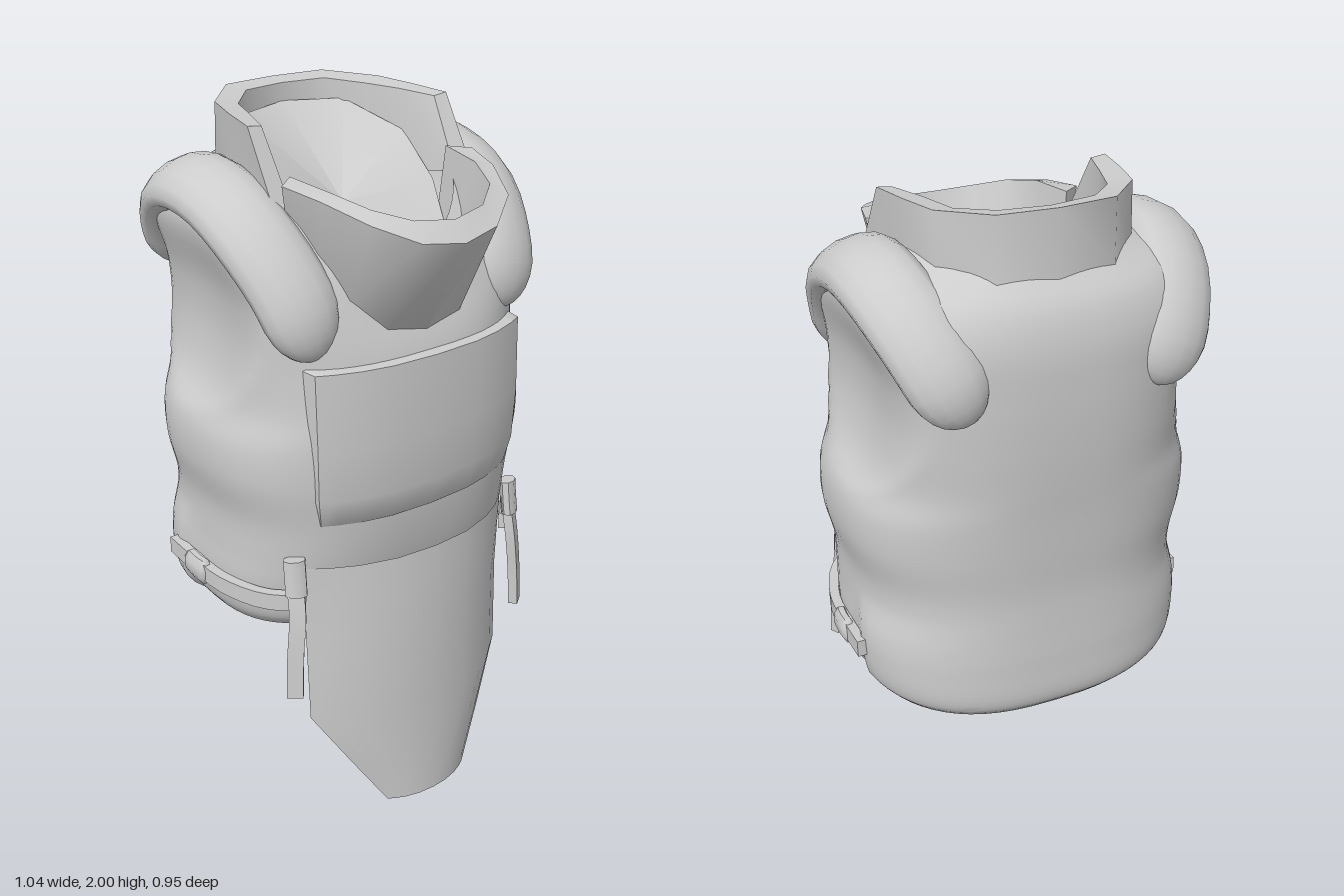
import * as THREE from 'three';
import { toCreasedNormals } from 'three/addons/utils/BufferGeometryUtils.js';

const cloth = new THREE.MeshStandardMaterial({ color: 0xcccccc, side: THREE.DoubleSide });
cloth.name = 'greyCloth';
const V = (x, y, z) => new THREE.Vector3(x, y, z);

// Skin a grid of points; wrap closes every row into a loop, caps closes the ends
function skin(rows, wrap = false, caps = false) {
  const n = rows[0].length, pos = rows.flat().flatMap(p => [p.x, p.y, p.z]), idx = [];
  for (let i = 0; i < rows.length - 1; i++)
    for (let j = 0; j < (wrap ? n : n - 1); j++) {
      const k = (j + 1) % n, a = i * n + j, b = i * n + k, c = b + n, d = a + n;
      idx.push(a, b, c, a, c, d);
    }
  if (caps) for (let j = 1; j < n - 1; j++) {
    const e = (rows.length - 1) * n;
    idx.push(0, j + 1, j, e, e + j, e + j + 1);
  }
  const g = new THREE.BufferGeometry();
  g.setAttribute('position', new THREE.Float32BufferAttribute(pos, 3));
  g.setIndex(idx);
  g.computeVertexNormals();
  return g;
}

function add(group, name, geo, crease) {
  const m = new THREE.Mesh(crease ? toCreasedNormals(geo, crease) : geo, cloth);
  m.name = name;
  group.add(m);
  return m;
}

// Torso profile: front y, side y, back y, half width, front z, back z
const RINGS = [
  [0.62, 0.60, 0.56, 0.44, 0.28, -0.43], [0.66, 0.64, 0.60, 0.465, 0.31, -0.46],
  [0.75, 0.75, 0.72, 0.48, 0.33, -0.462], [0.84, 0.84, 0.84, 0.475, 0.35, -0.455],
  [0.95, 0.95, 0.95, 0.475, 0.365, -0.45], [1.08, 1.08, 1.08, 0.502, 0.37, -0.455],
  [1.20, 1.18, 1.20, 0.50, 0.37, -0.46], [1.28, 1.28, 1.28, 0.47, 0.37, -0.465],
  [1.40, 1.40, 1.40, 0.47, 0.355, -0.47], [1.45, 1.55, 1.55, 0.48, 0.34, -0.47],
  [1.52, 1.72, 1.68, 0.49, 0.31, -0.46], [1.59, 1.80, 1.77, 0.43, 0.28, -0.43],
  [1.65, 1.86, 1.84, 0.29, 0.23, -0.37],
];

function torsoGeometry() {
  const seg = 64, steps = 72, cols = [];
  const pow = v => Math.sign(v) * Math.abs(v) ** (2 / 2.6);
  for (let j = 0; j < seg; j++) {
    const a = j / seg * Math.PI * 2, s = Math.sin(a), c = Math.cos(a);
    const pts = RINGS.map(([yf, ys, yb, w, zf, zb]) => V(
      w * pow(s), ys + ((c > 0 ? yf : yb) - ys) * c * c, (zf + zb) / 2 + (zf - zb) / 2 * pow(c)));
    const curve = new THREE.CatmullRomCurve3(pts);
    cols.push(Array.from({ length: steps + 1 }, (_, i) => curve.getPoint(i / steps)));
  }
  const rows = [];
  for (let i = 0; i <= steps; i++) rows.push(cols.map(col => {
    const p = col[i];
    // Sunken arm openings
    const r2 = ((p.y - 1.51) / 0.29) ** 2 + ((p.z + 0.10) / 0.29) ** 2;
    if (r2 < 1 && Math.abs(p.x) > 0.25) p.x -= Math.sign(p.x) * 0.075 * (1 - r2);
    // Padded band around the lower back
    if (p.z < -0.15) p.x *= 1 + 0.035 * THREE.MathUtils.smoothstep(0.9 - p.y, 0, 0.1);
    return p;
  }));
  // Slightly hollow underside
  rows.unshift(rows[0].map(() => V(0, 0.62, -0.08)));
  return skin(rows, true);
}

// Curved chest panel: y, centre z
function chestGeometry() {
  const U = [-1, -0.98, -0.85, -0.65, -0.4, 0, 0.4, 0.65, 0.85, 0.98, 1];
  return skin([[0.94, 0.34, 0.31], [0.97, 0.375, 0.33], [1.05, 0.388, 0.345], [1.2, 0.392, 0.35],
    [1.415, 0.383, 0.35], [1.42, 0.33, 0.35]].map(([y, z, w]) => U.map(u => V(
    w * u, y, z - 0.075 * Math.abs(u) ** 2.5 - (Math.abs(u) === 1 ? 0.05 : 0)))));
}

// Hanging front flap: y, half width, centre z, edge z
function flapGeometry() {
  const U = [-1, -0.85, -0.65, -0.35, 0, 0.35, 0.65, 0.85, 1];
  return skin([[0, 0.145, 0.42, 0.38], [0.16, 0.245, 0.415, 0.33], [0.33, 0.348, 0.41, 0.275],
    [0.6, 0.35, 0.405, 0.262], [0.83, 0.35, 0.395, 0.268]].map(([y, w, zc, ze]) => U.map(u => V(
    w * u, y + (y > 0.8 ? 0.012 * (1 - u * u) : 0), zc - (zc - ze) * Math.abs(u) ** 2.3))));
}

// Collar band mirrored about x = 0; each station is outer top, inner top, inner bottom, outer bottom
function collarGeometry(half) {
  const st = half.map(s => s.map(p => V(...p)));
  const other = st.slice(1).reverse().map(s => s.map(p => V(-p.x, p.y, p.z)));
  return skin([...other, ...st], true, true);
}

const BACK_COLLAR = [
  [[0, 2.0, -0.375], [0, 1.99, -0.325], [0, 1.80, -0.32], [0, 1.82, -0.385]],
  [[0.16, 2.0, -0.36], [0.13, 1.99, -0.305], [0.13, 1.80, -0.30], [0.16, 1.82, -0.365]],
  [[0.27, 1.99, -0.24], [0.21, 1.98, -0.22], [0.21, 1.79, -0.21], [0.27, 1.81, -0.25]],
  [[0.30, 1.985, -0.12], [0.245, 1.98, -0.11], [0.24, 1.76, -0.08], [0.295, 1.78, -0.08]],
  [[0.322, 1.98, 0.0], [0.28, 1.975, 0.0], [0.27, 1.79, 0.11], [0.325, 1.80, 0.11]],
];
const FRONT_COLLAR = [
  [[0, 1.74, 0.475], [0, 1.79, 0.43], [0, 1.45, 0.25], [0, 1.465, 0.33]],
  [[0.12, 1.755, 0.452], [0.11, 1.80, 0.405], [0.10, 1.47, 0.24], [0.12, 1.49, 0.32]],
  [[0.22, 1.80, 0.38], [0.19, 1.825, 0.34], [0.19, 1.50, 0.20], [0.21, 1.56, 0.27]],
  [[0.28, 1.84, 0.25], [0.235, 1.85, 0.23], [0.215, 1.55, 0.14], [0.245, 1.61, 0.19]],
  [[0.31, 1.855, 0.13], [0.255, 1.86, 0.085], [0.24, 1.64, 0.07], [0.27, 1.68, 0.10]],
];

// Sloping surface filling the neck opening
function neckGeometry() {
  const h = [[0, 1.94, -0.325], [0.17, 1.935, -0.27], [0.245, 1.87, -0.09], [0.25, 1.76, 0.04],
    [0.21, 1.53, 0.21], [0, 1.47, 0.26]].map(p => V(...p));
  const rim = [...h, ...h.slice(1, -1).reverse().map(p => V(-p.x, p.y, p.z))];
  return skin([rim, rim.map(() => V(0, 1.72, -0.04))], true);
}

// Sweep an oval (or box, sides = 4) along a path; width lies along the axis `across`
function sweep(points, w, t, across, sides, steps, rounded) {
  const curve = new THREE.CatmullRomCurve3(points.map(p => V(...p))), rows = [];
  for (let i = 0; i <= steps; i++) {
    const u = rounded ? (1 - Math.cos(Math.PI * i / steps)) / 2 : i / steps;
    const p = curve.getPointAt(u), tan = curve.getTangentAt(u);
    const side = across.clone().addScaledVector(tan, -across.dot(tan)).normalize();
    const up = tan.clone().cross(side);
    const e = rounded ? Math.max(0.05, Math.min(1, Math.sqrt(1 - (1 - Math.min(1, Math.min(u, 1 - u) / 0.13)) ** 2))) : 1;
    rows.push(Array.from({ length: sides }, (_, k) => {
      const a = (k + 0.5) / sides * Math.PI * 2, q = sides === 4 ? Math.SQRT2 : 1;
      return p.clone().addScaledVector(side, Math.cos(a) * w * q * e).addScaledVector(up, Math.sin(a) * t * q * e);
    }));
  }
  return skin(rows, true, true);
}

// Padding over one shoulder plus the buckled straps on one hip, on the +x side
function sideParts(name) {
  const g = new THREE.Group();
  g.name = name;
  add(g, 'shoulderPad', sweep([[0.31, 1.44, 0.275], [0.345, 1.60, 0.225], [0.385, 1.74, 0.105],
    [0.395, 1.805, -0.03], [0.395, 1.815, -0.17], [0.37, 1.76, -0.30], [0.32, 1.65, -0.395], [0.26, 1.51, -0.435]],
  0.108, 0.062, V(0.93, -0.36, 0), 14, 28, true));
  add(g, 'hipStrap', sweep([[0.37, 0.735, 0.27], [0.44, 0.73, 0.19], [0.488, 0.73, 0.05],
    [0.495, 0.735, -0.08], [0.495, 0.74, -0.2]], 0.025, 0.014, V(0, 1, 0), 4, 12), 0.6);
  add(g, 'hipBuckle', sweep([[0.495, 0.73, -0.005], [0.5, 0.73, -0.06], [0.499, 0.735, -0.115]],
    0.04, 0.022, V(0, 1, 0), 8, 8, true), 0.9);
  add(g, 'hangingStrap', sweep([[0.385, 0.82, 0.262], [0.392, 0.70, 0.285], [0.405, 0.58, 0.29],
    [0.412, 0.45, 0.295]], 0.023, 0.014, V(0.8, 0, -0.6), 4, 8), 0.6);
  add(g, 'strapClip', sweep([[0.385, 0.87, 0.262], [0.386, 0.82, 0.268], [0.388, 0.765, 0.275]],
    0.032, 0.024, V(0.8, 0, -0.6), 8, 6), 0.9);
  return g;
}

export function createModel() {
  const model = new THREE.Group();
  model.name = 'paddedVest';
  add(model, 'torso', torsoGeometry(), 0.8);
  add(model, 'chestPanel', chestGeometry(), 0.9);
  add(model, 'frontFlap', flapGeometry());
  add(model, 'backCollar', collarGeometry(BACK_COLLAR), 0.9);
  add(model, 'frontCollar', collarGeometry(FRONT_COLLAR), 0.9);
  add(model, 'neckOpening', neckGeometry());
  const left = sideParts('leftSide');
  const right = sideParts('rightSide');
  // Mirror the geometry itself so that face order stays outward
  right.children.forEach(m => {
    m.geometry.scale(-1, 1, 1);
    const g = m.geometry.index ? m.geometry.toNonIndexed() : m.geometry;
    for (const a of Object.values(g.attributes))
      for (let i = 0; i < a.count; i += 3) {
        const t = [a.getX(i), a.getY(i), a.getZ(i)];
        a.setXYZ(i, a.getX(i + 1), a.getY(i + 1), a.getZ(i + 1));
        a.setXYZ(i + 1, ...t);
      }
    m.geometry = g;
  });
  model.add(left, right);
  return model;
}
